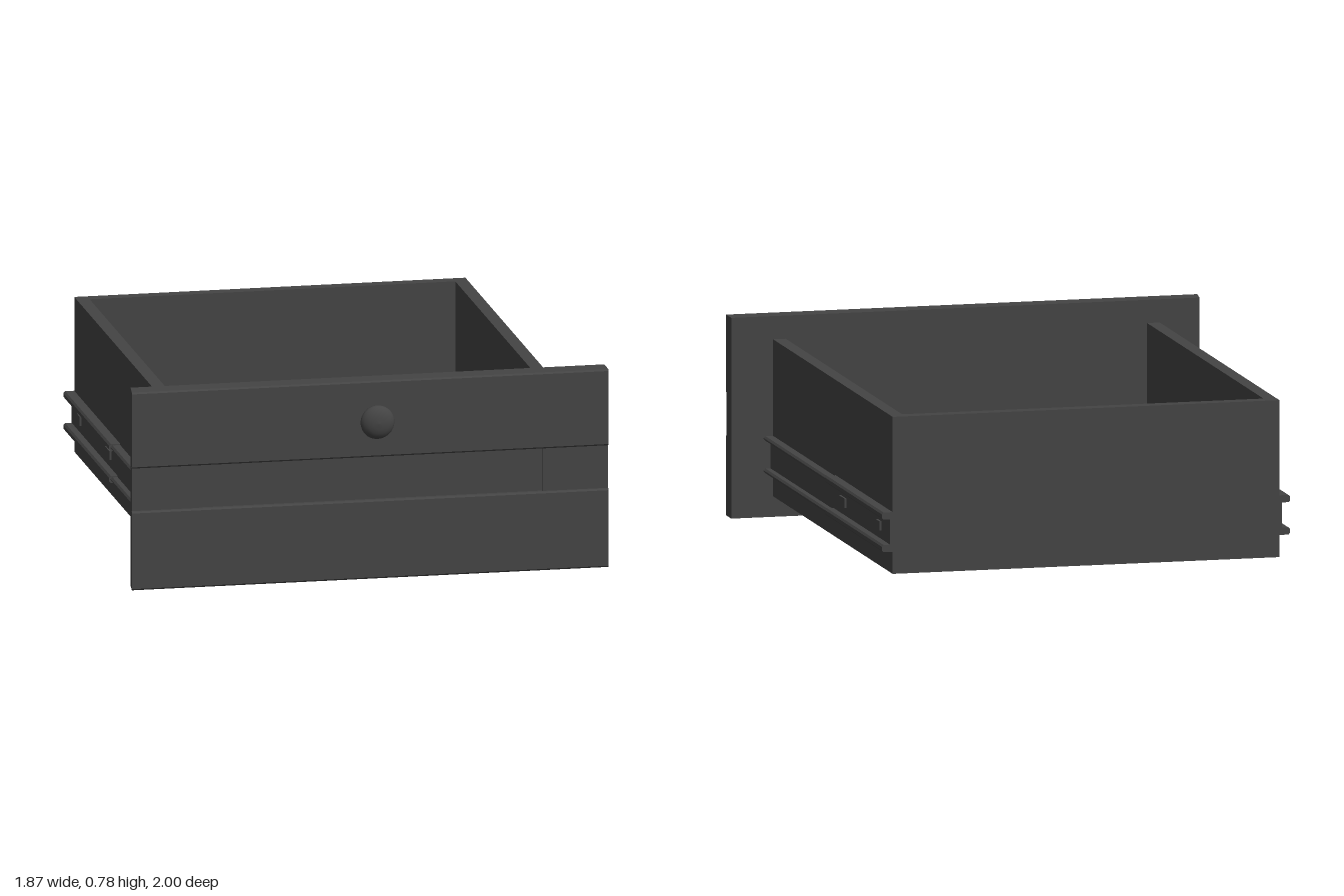
import * as THREE from 'three';

const dark = new THREE.MeshStandardMaterial({ color: 0x444444 });

function add(parent, name, geometry, x = 0, y = 0, z = 0) {
  const mesh = new THREE.Mesh(geometry, dark);
  mesh.name = name;
  mesh.position.set(x, y, z);
  parent.add(mesh);
  return mesh;
}

// Box given by its minimum and maximum corners
function block(parent, name, [x0, y0, z0], [x1, y1, z1]) {
  return add(parent, name, new THREE.BoxGeometry(x1 - x0, y1 - y0, z1 - z0),
    (x0 + x1) / 2, (y0 + y1) / 2, (z0 + z1) / 2);
}

function extrude(points, depth) {
  const shape = new THREE.Shape(points.map(([x, y]) => new THREE.Vector2(x, y)));
  return new THREE.ExtrudeGeometry(shape, { depth, bevelEnabled: false });
}

// Open channel with two chamfered lips, side = 1 or -1
function channel(parent, name, side, out, lip, z0, z1) {
  const base = 0.76, web = 0.775, c = 0.007;
  const lower = 0.18, upper = 0.306, h = lip / 2;
  const lobe = y => [
    [web, y - h], [out - c, y - h], [out, y - h + c],
    [out, y + h - c], [out - c, y + h], [web, y + h],
  ];
  const points = [[base, lower - h], ...lobe(lower), ...lobe(upper), [base, upper + h]];
  add(parent, name, extrude(points.map(([x, y]) => [side * x, y]), z1 - z0), 0, 0, z0);
}

export function createModel() {
  const drawer = new THREE.Group();
  drawer.name = 'drawer';

  // Open box
  const box = new THREE.Group();
  box.name = 'drawerBox';
  drawer.add(box);
  for (const s of [-1, 1]) {
    const a = s * 0.765, b = s * 0.715;
    block(box, s > 0 ? 'leftWall' : 'rightWall',
      [Math.min(a, b), 0.08, -1], [Math.max(a, b), 0.69, 0.83]);
  }
  block(box, 'backWall', [-0.715, 0.08, -1], [0.715, 0.69, -0.95]);
  block(box, 'floor', [-0.715, 0.08, -0.95], [0.715, 0.12, 0.83]);

  // Front panel: chamfered side profile with a long groove, run across the width
  const zb = 0.83, zf = 0.915, zg = 0.893, c = 0.006;
  const profile = [
    [zb, 0], [zf - c, 0], [zf, c], [zf, 0.31 - c], [zf - c, 0.31], [zg, 0.31],
    [zg, 0.48], [zf - c, 0.48], [zf, 0.48 + c], [zf, 0.78 - c], [zf - c, 0.78], [zb, 0.78],
  ];
  const panel = extrude(profile, 1.865);
  panel.rotateY(-Math.PI / 2);
  panel.translate(0.93, 0, 0);
  // The right end is cut at a slight slant
  const p = panel.attributes.position;
  for (let i = 0; i < p.count; i++) {
    if (p.getX(i) < 0) p.setX(i, p.getX(i) + 0.012 * (zf - p.getZ(i)) / (zf - zb));
  }
  panel.computeVertexNormals();
  add(drawer, 'frontPanel', panel);

  // Inlays at both ends of the groove
  block(drawer, 'rightInlay', [-0.932, 0.31, 0.88], [-0.67, 0.48, 0.9]);
  block(drawer, 'leftInlay', [0.675, 0.31, 0.88], [0.93, 0.48, 0.9]);

  // Knob: flared stem and a domed head
  const knobProfile = [
    [0.026, 0], [0.023, 0.01], [0.023, 0.022], [0.035, 0.027], [0.057, 0.036],
    [0.065, 0.045], [0.066, 0.052], [0.063, 0.06], [0.054, 0.07], [0.04, 0.078],
    [0.022, 0.083], [0, 0.085],
  ].map(([r, h]) => new THREE.Vector2(r, h));
  const knob = add(drawer, 'knob', new THREE.LatheGeometry(knobProfile, 40), 0.015, 0.63, zf);
  knob.rotation.x = Math.PI / 2;

  // Telescopic slides on both sides
  for (const s of [-1, 1]) {
    const slide = new THREE.Group();
    slide.name = s > 0 ? 'leftSlide' : 'rightSlide';
    drawer.add(slide);
    channel(slide, 'innerRail', s, 0.802, 0.018, -0.13, 0.83);
    channel(slide, 'outerRail', s, 0.808, 0.028, -1, -0.13);
    // Raised tabs on the web
    for (const [z0, z1] of [[-0.335, -0.25], [-0.865, -0.81]]) {
      add(slide, 'railTab', new THREE.BoxGeometry(0.012, 0.036, z1 - z0),
        s * 0.777, 0.245, (z0 + z1) / 2);
    }
  }

  return drawer;
}
